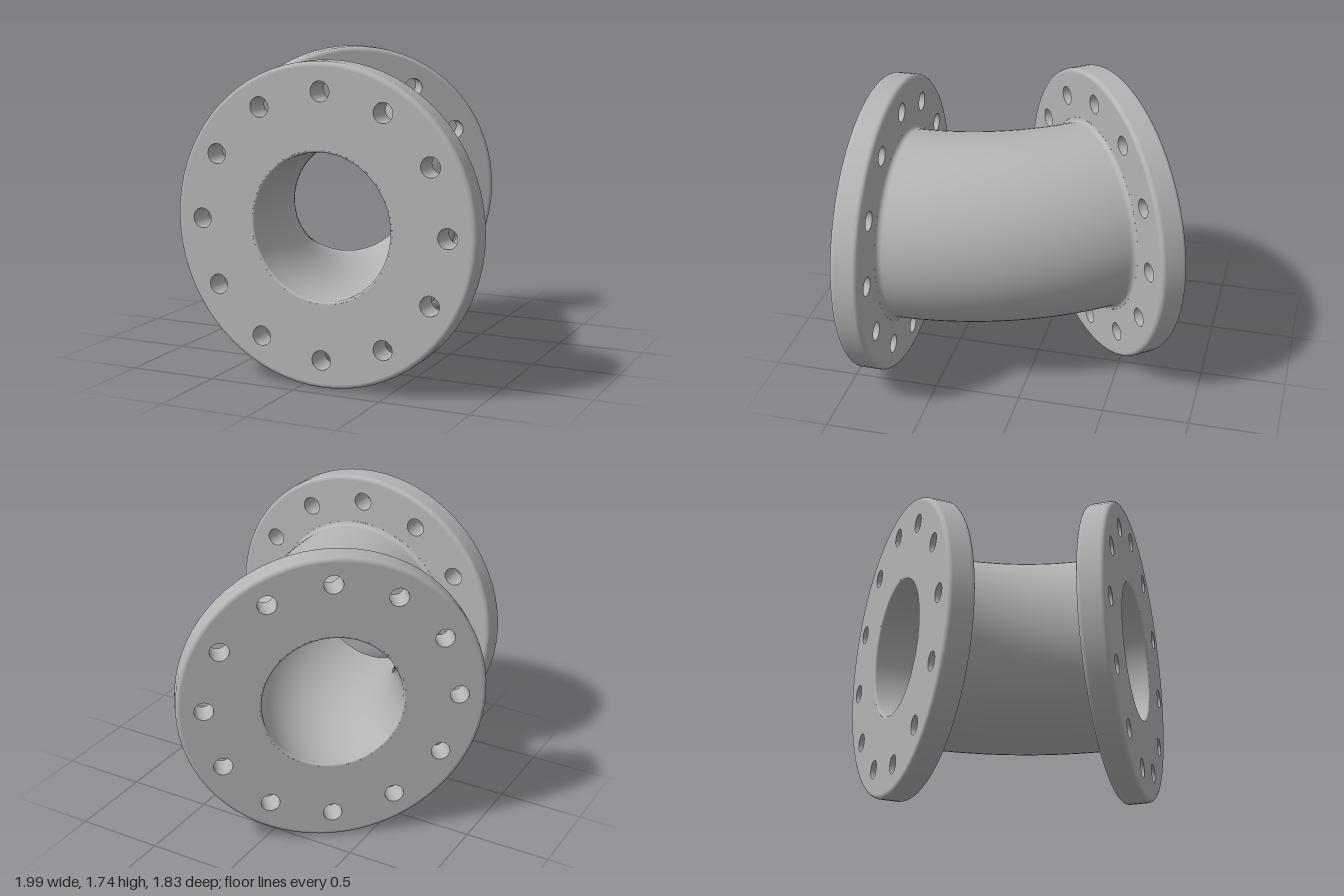
import * as THREE from 'three';

const SEG = 72;
const BEND = THREE.MathUtils.degToRad(38);
const RHO = 1.67;              // bend radius of the centre line
const LEN = RHO * BEND;        // centre line length between the flanges
const X0 = 0.125, Y0 = 0.875, Z0 = 0.76;
const THICK = 0.155, FLANGE_R = 0.87, ROUND = 0.025;
const PIPE_R = 0.555, FILLET = 0.025, BORE_R = 0.397, LIP = 0.012;
const BOLT_CIRCLE = 0.715, BOLT_R = 0.054, BOLTS = 12;

// Point and heading angle at distance s along the centre line, straight past both ends
function centreLine(s) {
  const a = Math.min(Math.max(s, 0), LEN) / RHO;
  const extra = s < 0 ? s : Math.max(s - LEN, 0);
  return {
    a,
    x: X0 - RHO * (1 - Math.cos(a)) - extra * Math.sin(a),
    z: Z0 - RHO * Math.sin(a) - extra * Math.cos(a),
  };
}

// Skin circular sections, given as [distance, radius], along the centre line
function sweep(stations, inward) {
  const pos = [], index = [];
  for (const [s, r] of stations) {
    const c = centreLine(s);
    for (let j = 0; j < SEG; j++) {
      const t = (j / SEG) * Math.PI * 2, u = r * Math.cos(t);
      pos.push(c.x + u * Math.cos(c.a), Y0 + r * Math.sin(t), c.z - u * Math.sin(c.a));
    }
  }
  for (let i = 0; i < stations.length - 1; i++) {
    for (let j = 0; j < SEG; j++) {
      const a = i * SEG + j, b = i * SEG + (j + 1) % SEG, c = a + SEG, d = b + SEG;
      if (inward) index.push(a, b, c, b, d, c);
      else index.push(a, c, b, b, c, d);
    }
  }
  const g = new THREE.BufferGeometry();
  g.setAttribute('position', new THREE.Float32BufferAttribute(pos, 3));
  g.setIndex(index);
  g.computeVertexNormals();
  return g;
}

// Stations along the bend, with mirrored rounded ends
function withEnds(end, radius, from) {
  const mid = [];
  const start = end[end.length - 1][0];
  for (let i = 1; i < 32; i++) mid.push([start + (LEN - 2 * start) * i / 32, radius]);
  const tail = end.map(([s, r]) => [LEN - s, r]).reverse();
  return [...end, ...mid, ...tail];
}

function quarter(fn, n = 6) {
  return Array.from({ length: n + 1 }, (_, i) => fn(i / n * Math.PI / 2));
}

// Lathe about the z axis
function latheZ(points, segments) {
  return new THREE.LatheGeometry(points.map(([r, z]) => new THREE.Vector2(r, z)), segments)
    .rotateX(Math.PI / 2);
}

// Flat annular face with the bolt holes cut out
function faceGeometry(innerR) {
  const shape = new THREE.Shape().absarc(0, 0, FLANGE_R - ROUND, 0, Math.PI * 2);
  const cut = (x, y, r) => shape.holes.push(new THREE.Path().absarc(x, y, r, 0, Math.PI * 2, true));
  cut(0, 0, innerR);
  for (let i = 0; i < BOLTS; i++) {
    const t = i / BOLTS * Math.PI * 2;
    cut(BOLT_CIRCLE * Math.cos(t), BOLT_CIRCLE * Math.sin(t), BOLT_R);
  }
  return new THREE.ShapeGeometry(shape, SEG);
}

// Flange with its pipe side at z = 0 and its outer face towards +z
function makeFlange(name, material) {
  const group = new THREE.Group();
  group.name = name;
  const add = (part, geometry) => {
    const mesh = new THREE.Mesh(geometry, material);
    mesh.name = part;
    group.add(mesh);
    return mesh;
  };
  add('outerFace', faceGeometry(BORE_R + LIP)).position.z = THICK;
  add('pipeSideFace', faceGeometry(PIPE_R + FILLET).rotateY(Math.PI));

  const R = FLANGE_R - ROUND;
  const rim = [
    ...quarter(a => [R + ROUND * Math.sin(a), ROUND * (1 - Math.cos(a))]),
    ...quarter(a => [R + ROUND * Math.cos(a), THICK - ROUND * (1 - Math.sin(a))]),
  ];
  add('rim', latheZ(rim, SEG));

  const wall = latheZ([[BOLT_R, THICK], [BOLT_R, 0]], SEG);
  for (let i = 0; i < BOLTS; i++) {
    const t = i / BOLTS * Math.PI * 2;
    add('boltHole', wall).position.set(BOLT_CIRCLE * Math.cos(t), BOLT_CIRCLE * Math.sin(t), 0);
  }
  return group;
}

export function createModel() {
  const model = new THREE.Group();
  model.name = 'pipeBend';
  const metal = new THREE.MeshStandardMaterial({ color: 0xb4b4b4 });
  metal.name = 'grey metal';

  // Curved pipe wall, filleted into both flanges
  const fillet = quarter(a => [FILLET * (1 - Math.cos(a)), PIPE_R + FILLET * (1 - Math.sin(a))]);
  const pipe = new THREE.Mesh(sweep(withEnds(fillet, PIPE_R), false), metal);
  pipe.name = 'pipeWall';

  // Bore running through both flanges, with rounded lips
  const lip = quarter(a => [-THICK + LIP * (1 - Math.cos(a)), BORE_R + LIP * (1 - Math.sin(a))]);
  lip.push([0, BORE_R]);
  const bore = new THREE.Mesh(sweep(withEnds(lip, BORE_R), true), metal);
  bore.name = 'bore';

  // Flanges at the two ends of the bend
  const front = makeFlange('frontFlange', metal);
  front.position.set(X0, Y0, Z0);
  const back = makeFlange('backFlange', metal);
  const end = centreLine(LEN);
  back.position.set(end.x, Y0, end.z);
  back.rotation.y = Math.PI + BEND;

  model.add(pipe, bore, front, back);
  return model;
}
